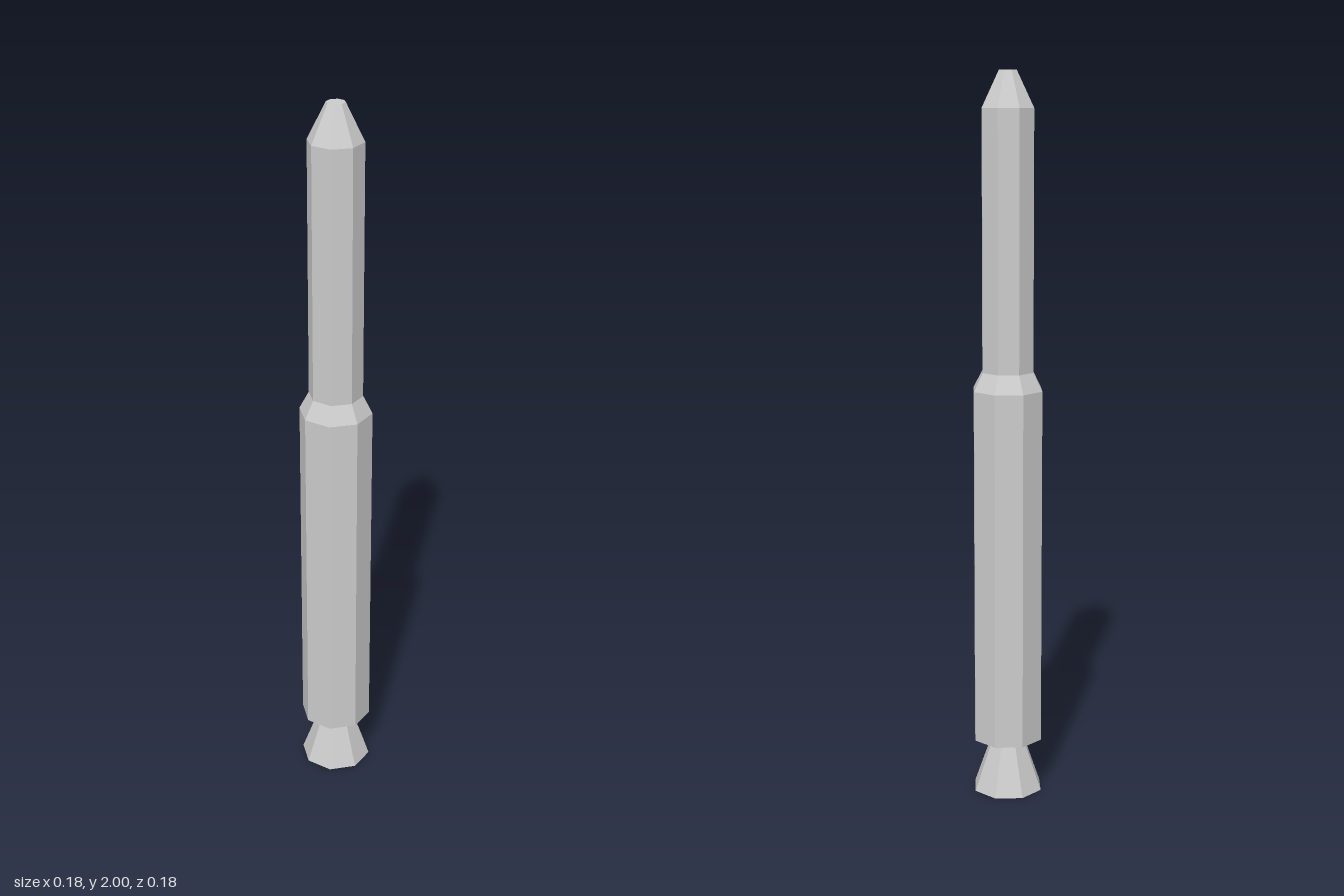
import * as THREE from 'three';

const SIDES = 8;

// Parts from bottom to top: name, lower y, upper y, lower radius, upper radius
const STAGES = [
  ['engineNozzle', 0, 0.152, 0.1, 0.046],
  ['lowerStage', 0.152, 1.152, 0.1, 0.1],
  ['interstage', 1.152, 1.202, 0.1, 0.074],
  ['upperStage', 1.202, 1.902, 0.074, 0.074],
  ['noseCone', 1.902, 2, 0.074, 0.025],
];
// Parts whose ends are hidden inside the stack need no caps
const OPEN = new Set(['interstage', 'upperStage']);

export function createModel() {
  const rocket = new THREE.Group();
  rocket.name = 'rocket';
  const material = new THREE.MeshStandardMaterial({ color: 0xcccccc, flatShading: true });

  for (const [name, y0, y1, r0, r1] of STAGES) {
    // Turned half a side so that flat faces look along x and z
    const geometry = new THREE.CylinderGeometry(
      r1, r0, y1 - y0, SIDES, 1, OPEN.has(name), Math.PI / SIDES);
    const mesh = new THREE.Mesh(geometry, material);
    mesh.name = name;
    mesh.position.y = (y0 + y1) / 2;
    rocket.add(mesh);
  }
  return rocket;
}
